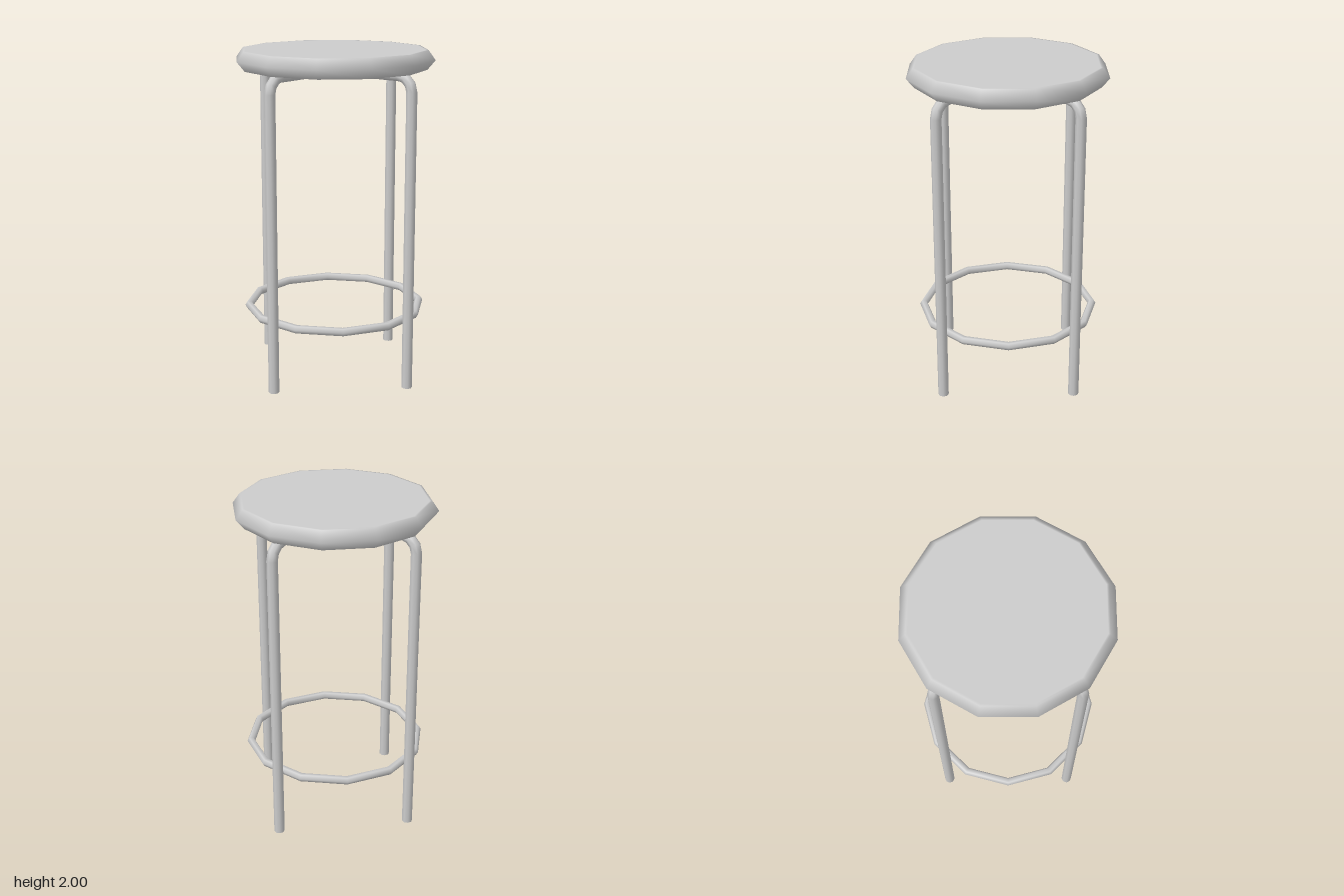
import * as THREE from 'three';

const TUBE = 0.032;      // leg tube radius
const LEG_X = 0.567;     // leg centre line
const BAR_Y = 1.877;     // under-seat bar centre line
const BEND = 0.09;       // bend radius
const SIDES = 8;

const material = new THREE.MeshStandardMaterial({ color: 0xcccccc });

function addMesh(parent, name, geometry) {
  const mesh = new THREE.Mesh(geometry, material);
  mesh.name = name;
  parent.add(mesh);
  return mesh;
}

// Twelve-sided cushion with a soft bevelled rim
function createSeat() {
  const profile = [
    [0, 1.885], [0.54, 1.885], [0.553, 1.885], [0.6, 1.942],
    [0.558, 2], [0.545, 2], [0, 2],
  ].map(([r, y]) => new THREE.Vector2(r, y));
  return new THREE.LatheGeometry(profile, 12);
}

// One bent tube: two legs, two rounded corners and the bar between them
function createLegFrame() {
  const frame = new THREE.Group();
  const legHeight = BAR_Y - BEND;
  const barLength = 2 * (LEG_X - BEND);

  for (const side of [1, -1]) {
    const leg = addMesh(frame, 'leg', new THREE.CylinderGeometry(TUBE, TUBE, legHeight, SIDES));
    leg.position.set(side * LEG_X, legHeight / 2, 0);

    const bend = addMesh(frame, 'legBend', new THREE.TorusGeometry(BEND, TUBE, SIDES, 3, Math.PI / 2));
    bend.position.set(side * (LEG_X - BEND), legHeight, 0);
    if (side < 0) bend.rotation.y = Math.PI;
  }

  const bar = addMesh(frame, 'seatBar', new THREE.CylinderGeometry(TUBE, TUBE, barLength, SIDES));
  bar.rotation.z = Math.PI / 2;
  bar.position.y = BAR_Y;
  return frame;
}

export function createModel() {
  const stool = new THREE.Group();
  stool.name = 'stool';

  addMesh(stool, 'seat', createSeat());

  // Two crossing leg frames
  for (let i = 0; i < 2; i++) {
    const frame = createLegFrame();
    frame.name = 'legFrame';
    frame.rotation.y = i * Math.PI / 2;
    stool.add(frame);
  }

  // Footrest ring, its flats against the legs
  const ringGeometry = new THREE.TorusGeometry(0.533, 0.025, 6, 12);
  ringGeometry.rotateX(Math.PI / 2);
  const ring = addMesh(stool, 'footRing', ringGeometry);
  ring.rotation.y = Math.PI / 12;
  ring.position.y = 0.417;

  return stool;
}
